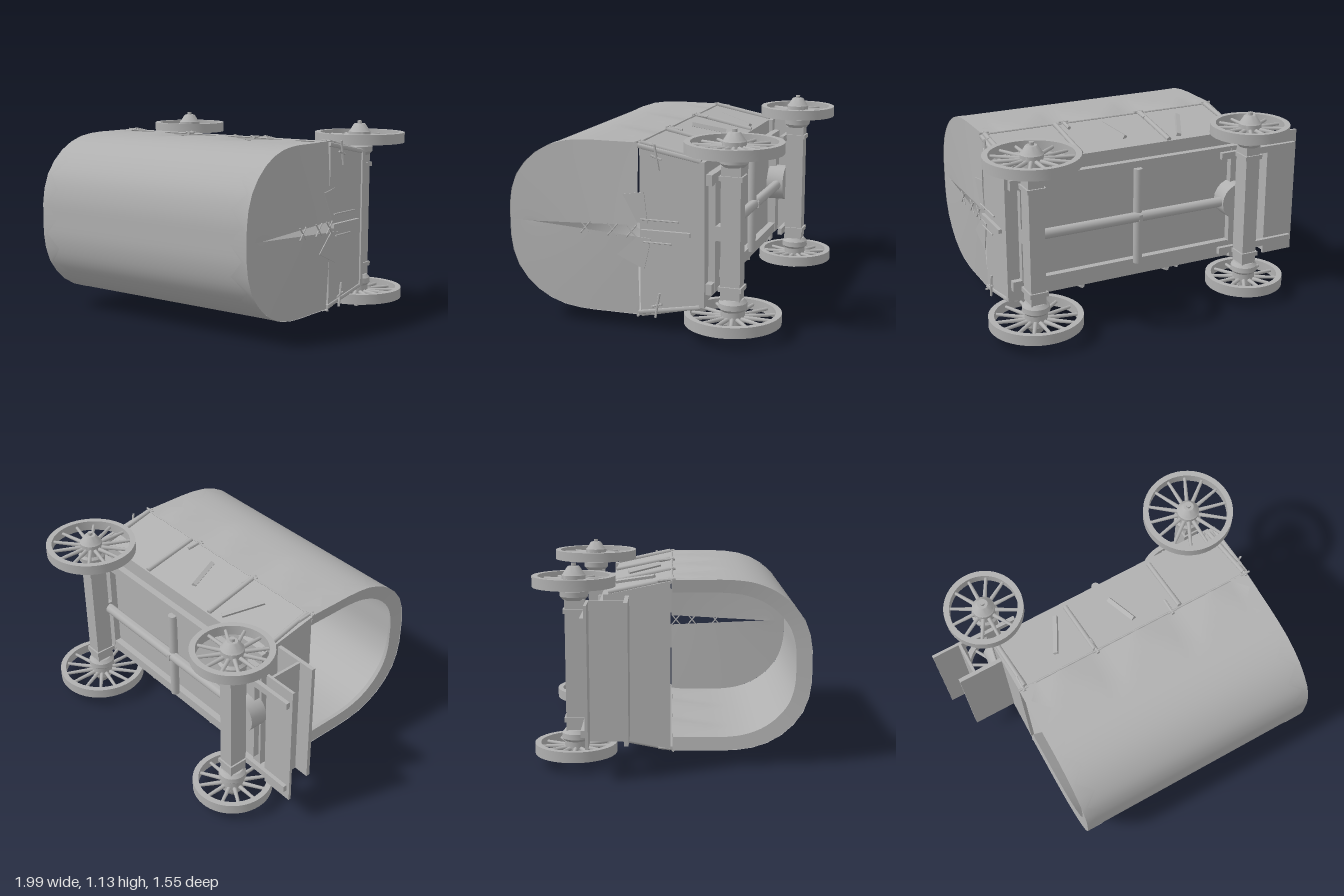
import * as THREE from 'three';
import { toCreasedNormals } from 'three/addons/utils/BufferGeometryUtils.js';

// A covered wagon lying on its side: x runs along it, z is the wagon's own "up", y runs across.
const V = (x, y, z) => new THREE.Vector3(x, y, z);
const UP = V(0, 1, 0);

export function createModel() {
  const model = new THREE.Group();
  const wagon = new THREE.Group();
  wagon.name = 'coveredWagon';
  wagon.position.y = 0.567;
  model.add(wagon);

  const grey = new THREE.MeshStandardMaterial({ color: 0xb0b0b0, side: THREE.DoubleSide });
  grey.name = 'plain grey';

  function add(name, geo, parent = wagon) {
    const mesh = new THREE.Mesh(geo, grey);
    mesh.name = name;
    parent.add(mesh);
    return mesh;
  }
  function box(name, x0, x1, y0, y1, z0, z1) {
    const m = add(name, new THREE.BoxGeometry(x1 - x0, y1 - y0, z1 - z0));
    m.position.set((x0 + x1) / 2, (y0 + y1) / 2, (z0 + z1) / 2);
    return m;
  }
  function rod(name, a, b, r, sides = 10) {
    const m = add(name, toCreasedNormals(new THREE.CylinderGeometry(r, r, a.distanceTo(b), sides), 0.9));
    m.position.copy(a).add(b).multiplyScalar(0.5);
    m.quaternion.setFromUnitVectors(UP, b.clone().sub(a).normalize());
    return m;
  }
  // Cross-section given as [y, z] pairs, extruded along x
  const basis = new THREE.Matrix4().makeBasis(V(0, 1, 0), V(0, 0, 1), V(1, 0, 0));
  function section(name, pts, x0, x1) {
    const shape = new THREE.Shape(pts.map(p => new THREE.Vector2(p[0], p[1])));
    const geo = new THREE.ExtrudeGeometry(shape, { depth: x1 - x0, bevelEnabled: false });
    geo.applyMatrix4(basis);
    geo.translate(x0, 0, 0);
    return add(name, geo);
  }
  // Surface from a rule f(i, j) over a grid
  function sheet(name, nu, nv, f, crease = 0.5) {
    const pos = [], idx = [];
    for (let i = 0; i <= nu; i++) for (let j = 0; j <= nv; j++) pos.push(...f(i, j).toArray());
    for (let i = 0; i < nu; i++) for (let j = 0; j < nv; j++) {
      const a = i * (nv + 1) + j, b = a + nv + 1;
      idx.push(a, b, a + 1, b, b + 1, a + 1);
    }
    const geo = new THREE.BufferGeometry();
    geo.setAttribute('position', new THREE.Float32BufferAttribute(pos, 3));
    geo.setIndex(idx);
    return add(name, toCreasedNormals(geo, crease));
  }

  // Canvas cover outline, from one lower edge over the top to the other
  const half = [[0.48, 0], [0.48, 0.16], [0.478, 0.34], [0.46, 0.46], [0.415, 0.57], [0.345, 0.66], [0.25, 0.73], [0.13, 0.765]];
  const outline = new THREE.CatmullRomCurve3([
    ...half.map(p => V(0, p[0], p[1])), V(0, 0, 0.77), ...half.slice().reverse().map(p => V(0, -p[0], p[1]))
  ]);
  const N = 64, ring = outline.getSpacedPoints(N);
  const xFront = -0.665, xBack = 0.82;

  // Cover, drawn in to the bed at the tie posts
  const bays = 3, perBay = 8, nx = bays * perBay;
  sheet('canvasCover', nx, N, (i, j) => {
    const p = ring[j];
    const t = Math.abs((i % perBay) / perBay - 0.5) * 2;
    const pull = (i === 0 || i === nx) ? 0 : 0.03 * Math.max(0, t - p.z / 0.32);
    return V(xFront + (xBack - xFront) * i / nx, p.y - Math.sign(p.y) * pull, p.z);
  });

  // Zigzag hems at both ends
  const grow = (p, k) => V(0, p.y * k, p.z * k);
  for (const [x, dir] of [[xFront, 1], [xBack, -1]]) {
    sheet('zigzagHem', 1, 24, (i, j) => {
      const p = grow(outline.getPointAt(j / 24), 1.004);
      return V(x + dir * (i ? (j % 2 ? 0.03 : 0.11) : -0.002), p.y, p.z);
    });
  }
  // Open front rim
  sheet('frontRim', 1, N, (i, j) => {
    const p = ring[j];
    return V(xFront + i * 0.01, p.y * (1 - i * 0.15), p.z * (1 - i * 0.11));
  });
  sheet('rimLining', 1, N, (i, j) => {
    const p = ring[j];
    return V(xFront + 0.01 + i * 0.06, p.y * (0.85 + i * 0.1), p.z * (0.89 + i * 0.07));
  });

  // Rear curtains meeting at a slit, with turned-back corners
  for (const s of [1, -1]) {
    sheet('rearCurtain', 24, 6, (i, j) => {
      const u = i / 24, v = j / 6, p = outline.getPointAt(0.5 - 0.5 * u);
      const y = p.y * (1 - v) + 0.032 * u * v;
      const z = p.z * (1 - v) + 0.64 * (1 - u) * v;
      return V(xBack + 0.025 * v * u, s * y, z);
    }, 1);
  }
  section('curtainFlap', [[0.2, 0.08], [0.05, 0.0], [0.045, -0.06], [0.22, -0.04]], 0.845, 0.85);
  section('curtainFlap', [[-0.14, 0.12], [-0.03, 0.0], [-0.035, -0.08], [-0.21, -0.04]], 0.845, 0.85);

  // Lacing across the slit
  for (const z of [0.3, 0.14, 0.03]) for (const s of [1, -1]) {
    rod('lacing', V(0.855, -0.035, z - s * 0.03), V(0.855, 0.035, z + s * 0.03), 0.004, 6);
  }

  // Bed with sloping sides
  const w = 0.475, b = 0.4, d = -0.355, th = 0.015;
  section('bed', [[w, 0], [w - th, 0], [b - th, d + th], [-b + th, d + th], [-w + th, 0], [-w, 0], [-b, d], [b, d]], xFront, xBack);
  for (const [name, x] of [['frontBoard', xFront], ['tailboard', xBack - 0.01]]) {
    section(name, [[w - 0.01, -0.01], [-w + 0.01, -0.01], [-b, d], [b, d]], x, x + 0.02);
  }
  box('floorSill', 0.77, 0.84, -0.4, 0.4, -0.378, -0.35);
  box('floorSill', -0.67, -0.61, -0.4, 0.4, -0.378, -0.35);
  section('tailLatch', [[-0.012, -0.3], [0.012, -0.3], [0.012, -0.02], [-0.012, -0.02]], 0.835, 0.855);
  rod('latchRod', V(0.855, 0.07, -0.24), V(0.855, 0.07, -0.02), 0.005, 6);
  rod('latchRod', V(0.855, -0.055, -0.2), V(0.855, -0.055, -0.04), 0.005, 6);

  // Side posts, braces and tie pegs
  for (const s of [1, -1]) {
    const side = (x, z, out = 0.006) => V(x, s * (w + (w - b) * z / -d + out), z);
    for (const [x0, x1] of [[-0.645, -0.625], [-0.19, -0.175], [0.37, 0.38], [0.785, 0.81]]) {
      rod('sidePost', side(x0, -0.35), side(x1, -0.01), 0.015, 8);
    }
    rod('sideBrace', side(-0.38, -0.1), side(-0.27, -0.32), 0.018, 4);
    rod('sideBrace', side(0.05, -0.26), side(0.11, -0.07), 0.018, 4);
    for (const x of [-0.64, -0.17, 0.32, 0.81]) {
      rod('tiePeg', side(x, -0.08, 0.012), side(x, 0.02, 0.002), 0.01, 8);
      rod('tieRope', side(x - 0.03, 0.005, 0.008), side(x + 0.03, 0.005, 0.008), 0.006, 6);
    }
    rod('cornerRail', V(0.825, s * (w - 0.01), 0), V(0.825, s * b, d), 0.014, 8);
    rod('tailHook', V(0.845, s * 0.48, -0.1), V(0.845, s * 0.34, -0.125), 0.007, 6);
    rod('tailHook', V(0.845, s * 0.42, -0.08), V(0.845, s * 0.4, -0.14), 0.006, 6);
    rod('topRail', V(xFront, s * (w + 0.002), 0), V(xBack, s * (w + 0.002), 0), 0.006, 6);

    // Long floor rails and the two shafts under the footboard
    box('floorRail', -0.63, 0.82, s * 0.3 - 0.03, s * 0.3 + 0.03, -0.413, -0.373);
    box('footboardArm', -0.98, -0.47, s * 0.3 - 0.02, s * 0.3 + 0.02, -0.485, -0.46);
  }

  // Undercarriage
  rod('reachPole', V(-0.58, 0, -0.437), V(0.72, 0, -0.437), 0.03, 14);
  rod('crossBar', V(0.05, -0.29, -0.425), V(0.05, 0.29, -0.425), 0.026, 12);
  box('crossBarPeg', 0.04, 0.06, -0.02, 0.02, -0.47, -0.44);
  rod('turntable', V(-0.6, 0, -0.48), V(-0.6, 0, -0.375), 0.11, 20);

  // Driver's seat, footboard and riser
  box('seatBoard', -0.93, -0.66, -0.38, 0.395, -0.258, -0.235);
  box('footboard', -1, -0.8, -0.38, 0.39, -0.462, -0.446);
  box('seatRiser', -0.838, -0.822, -0.38, 0.39, -0.45, -0.25);

  // Wheel axis is y; the +y end of the hub is the outer cap
  function wheel(name, r, spokes) {
    const g = new THREE.Group();
    g.name = name;
    const lathe = (part, pts, n) => add(part, toCreasedNormals(
      new THREE.LatheGeometry(pts.map(p => new THREE.Vector2(p[0], p[1])), n), 0.6), g);
    lathe('rim', [[r, -0.03], [r, 0.03], [r - 0.033, 0.03], [r - 0.033, -0.03], [r, -0.03]], 48);
    lathe('hub', [[0, -0.105], [0.06, -0.105], [0.078, -0.085], [0.08, -0.055], [0.066, -0.04], [0.066, 0.032],
      [0.058, 0.04], [0.036, 0.075], [0.03, 0.08], [0.014, 0.08], [0.014, 0.097], [0, 0.097]], 24);
    for (let k = 0; k < spokes; k++) {
      const geo = new THREE.CylinderGeometry(0.009, 0.013, r - 0.07, 8);
      geo.translate(0, (r - 0.07) / 2 + 0.05, 0).rotateX(Math.PI / 2).rotateY(k / spokes * Math.PI * 2);
      add('spoke', geo, g);
    }
    wagon.add(g);
    return g;
  }

  // Axles with bolsters, bands and a wheel at each end
  for (const [name, x, z, r, spokes] of [['front', -0.615, -0.54, 0.23, 12], ['rear', 0.725, -0.505, 0.267, 14]]) {
    box(name + 'Axle', x - 0.045, x + 0.045, -0.37, 0.37, z - 0.05, z + 0.06);
    rod(name + 'Spindle', V(x, -0.46, z), V(x, 0.46, z), 0.04, 14);
    box(name + 'Bolster', x - 0.04, x + 0.04, -0.33, 0.33, -0.415, -0.375);
    box(name + 'KingBlock', x - 0.04, x + 0.04, -0.04, 0.04, z, -0.4);
    for (const s of [1, -1]) {
      box(name + 'AxleBand', x - 0.055, x + 0.055, s * 0.305 - 0.013, s * 0.305 + 0.013, z - 0.06, z + 0.07);
      const g = wheel(name + 'Wheel', r, spokes);
      g.position.set(x, s * 0.47, z);
      if (s < 0) g.rotation.x = Math.PI;
    }
  }
  return model;
}
